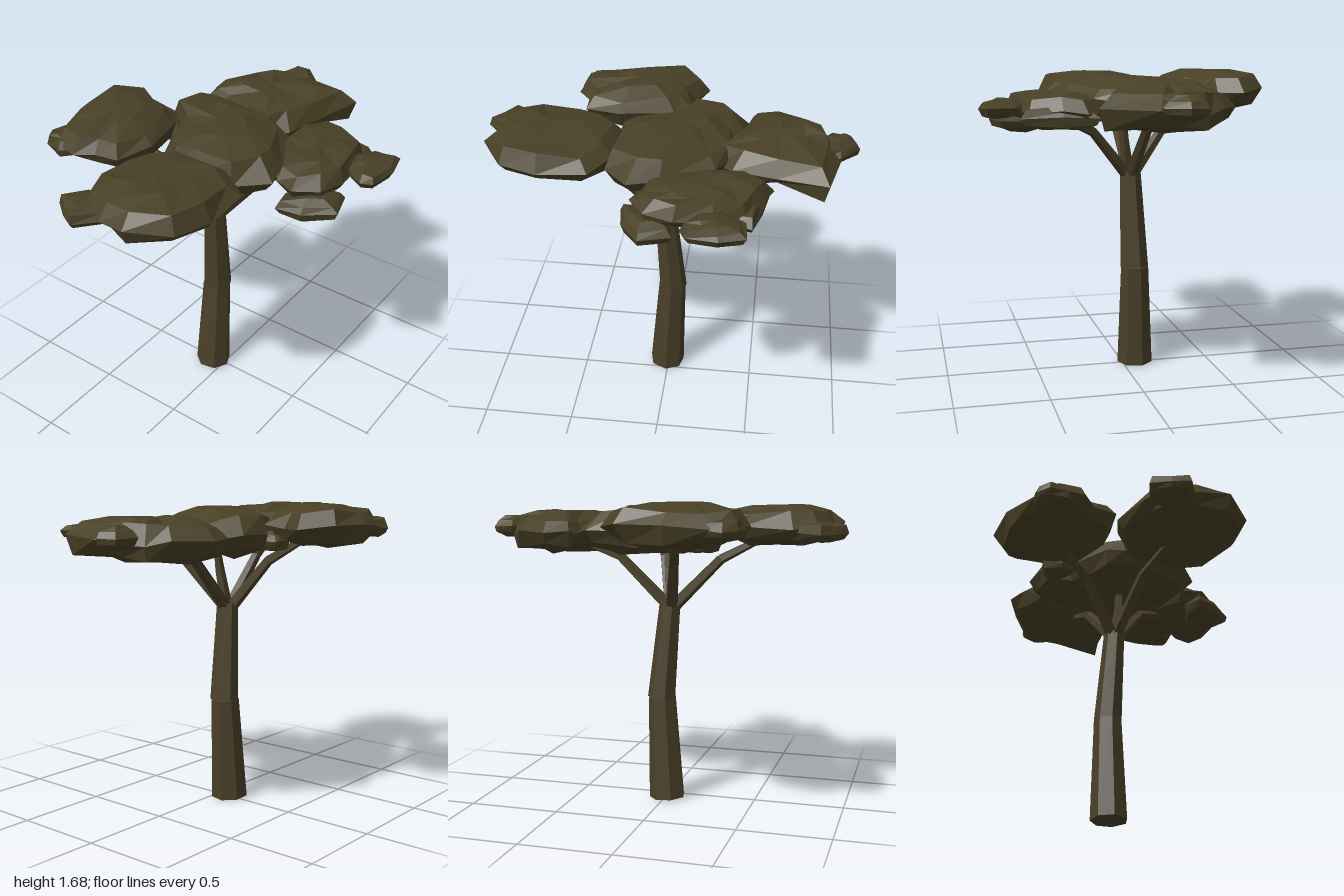
import * as THREE from 'three';

const bark = new THREE.MeshStandardMaterial({ color: 0x4a4029, flatShading: true });
bark.name = 'bark';
const leaves = new THREE.MeshStandardMaterial({ color: 0x484026, flatShading: true });
leaves.name = 'leaves';

// Small seeded generator, returns -1..1
let seed = 7;
function jitter() {
  seed = (seed * 16807) % 2147483647;
  return (seed / 2147483647) * 2 - 1;
}

// Tapered faceted limb section between two points
function limb(name, from, to, r0, r1, sides) {
  const a = new THREE.Vector3(...from), b = new THREE.Vector3(...to);
  const dir = b.clone().sub(a);
  const mesh = new THREE.Mesh(new THREE.CylinderGeometry(r1, r0, dir.length(), sides), bark);
  mesh.position.copy(a).add(b).multiplyScalar(0.5);
  mesh.quaternion.setFromUnitVectors(new THREE.Vector3(0, 1, 0), dir.normalize());
  mesh.name = name;
  return mesh;
}

// Ring profile of a foliage clump: [share of outline, share of height]
const PROFILE = [[0.5, 0.03], [0.87, 0.2], [1, 0.5], [0.83, 0.83], [0.45, 0.96]];

// Flattened rocky clump: plan outline (x, z pairs, clockwise from above) from y0 to y1
function clump(name, y0, y1, outline) {
  const n = outline.length / 2, h = y1 - y0;
  let cx = 0, cz = 0;
  for (let i = 0; i < n; i++) {
    cx += outline[2 * i] / n;
    cz += outline[2 * i + 1] / n;
  }
  const pos = [], index = [];
  for (const [s, t] of PROFILE) {
    for (let i = 0; i < n; i++) {
      const k = s === 1 ? 1 : s + jitter() * 0.07;
      const y = THREE.MathUtils.clamp(t + jitter() * 0.1, 0, 1);
      pos.push(cx + (outline[2 * i] - cx) * k, y0 + h * y, cz + (outline[2 * i + 1] - cz) * k);
    }
  }
  const rings = PROFILE.length, bottom = rings * n, top = bottom + 1;
  pos.push(cx, y0, cz, cx, y1, cz);
  for (let i = 0; i < n; i++) {
    const j = (i + 1) % n, last = (rings - 1) * n;
    index.push(bottom, i, j, top, last + j, last + i);
    for (let r = 0; r < rings - 1; r++) {
      const a = r * n + i, b = r * n + j;
      index.push(b, a, a + n, b, a + n, b + n);
    }
  }
  const indexed = new THREE.BufferGeometry();
  indexed.setAttribute('position', new THREE.Float32BufferAttribute(pos, 3));
  indexed.setIndex(index);
  const geo = indexed.toNonIndexed();
  geo.computeVertexNormals();
  const mesh = new THREE.Mesh(geo, leaves);
  mesh.name = name;
  return mesh;
}

export function createModel() {
  seed = 7;
  const tree = new THREE.Group();
  tree.name = 'flatToppedTree';

  // Trunk in two sections with a slight bend
  const trunk = new THREE.Group();
  trunk.name = 'trunk';
  trunk.add(
    limb('lowerTrunk', [-0.01, 0.005, -0.075], [0.02, 0.578, -0.067], 0.102, 0.079, 7),
    limb('upperTrunk', [0.025, 0.576, -0.064], [-0.02, 1.115, -0.05], 0.08, 0.06, 7)
  );
  tree.add(trunk);

  // Branches: base, elbow, tip
  const branches = new THREE.Group();
  branches.name = 'branches';
  const paths = {
    rightBranch: [[-0.045, 1.1, -0.05], [-0.3, 1.36, -0.03], [-0.55, 1.49, 0.02]],
    leftBranch: [[0, 1.1, -0.05], [0.27, 1.37, -0.07], [0.52, 1.46, -0.08]],
    frontBranch: [[-0.01, 1.1, -0.03], [0.08, 1.35, 0.18], [0.17, 1.45, 0.4]],
    backBranch: [[-0.03, 1.1, -0.07], [-0.1, 1.36, -0.27], [-0.18, 1.52, -0.52]],
    middleBranch: [[-0.02, 1.1, -0.04], [0, 1.3, -0.01], [0.02, 1.46, 0]],
  };
  for (const [name, [a, b, c]] of Object.entries(paths)) {
    const branch = new THREE.Group();
    branch.name = name;
    branch.add(limb('innerBranch', a, b, 0.036, 0.028, 5), limb('outerBranch', b, c, 0.028, 0.018, 5));
    branches.add(branch);
  }
  tree.add(branches);

  // Flat canopy: five large clumps with smaller ones around the edges
  const canopy = new THREE.Group();
  canopy.name = 'canopy';
  canopy.add(
    clump('middleClump', 1.39, 1.65, [-0.29, 0, -0.28, -0.13, -0.23, -0.22, -0.1, -0.27, 0.05, -0.33,
      0.13, -0.44, 0.33, -0.44, 0.41, -0.36, 0.4, -0.15, 0.36, 0.05, 0.27, 0.22, 0, 0.36, -0.16, 0.41, -0.29, 0.26]),
    clump('rightClump', 1.44, 1.655, [-0.95, 0.12, -0.92, -0.05, -0.85, -0.2, -0.73, -0.27, -0.47, -0.29,
      -0.35, -0.22, -0.25, -0.1, -0.25, 0.2, -0.36, 0.37, -0.62, 0.38, -0.82, 0.32]),
    clump('rightTuft', 1.47, 1.57, [-1, -0.16, -0.95, -0.25, -0.88, -0.34, -0.75, -0.26, -0.73, -0.1, -0.87, -0.04]),
    clump('leftClump', 1.39, 1.62, [0.25, 0.08, 0.33, -0.1, 0.39, -0.33, 0.43, -0.42, 0.56, -0.46, 0.75, -0.34,
      0.83, -0.24, 0.88, -0.1, 0.9, 0.03, 0.84, 0.31, 0.58, 0.23, 0.35, 0.18]),
    clump('leftTuft', 1.47, 1.59, [0.76, -0.12, 0.85, -0.22, 0.97, -0.19, 1, -0.09, 0.9, 0.02, 0.8, 0.03]),
    clump('backClump', 1.45, 1.675, [-0.57, -0.54, -0.54, -0.68, -0.42, -0.77, -0.2, -0.83, 0.05, -0.8, 0.17, -0.65,
      0.1, -0.52, 0.09, -0.38, 0, -0.32, -0.3, -0.24, -0.49, -0.31, -0.5, -0.45]),
    clump('backTuft', 1.49, 1.6, [-0.57, -0.64, -0.55, -0.74, -0.48, -0.79, -0.38, -0.76, -0.36, -0.6, -0.5, -0.55]),
    clump('backLowTuft', 1.43, 1.54, [-0.03, -0.4, 0.02, -0.5, 0.1, -0.47, 0.15, -0.39, 0.08, -0.32, 0, -0.3]),
    clump('frontClump', 1.41, 1.58, [-0.13, 0.5, -0.08, 0.38, 0.08, 0.3, 0.25, 0.18, 0.45, 0.2, 0.57, 0.3,
      0.53, 0.42, 0.45, 0.58, 0.3, 0.64, 0.1, 0.66, -0.05, 0.62]),
    clump('frontTuft', 1.45, 1.55, [0.14, 0.73, 0.2, 0.62, 0.33, 0.57, 0.45, 0.65, 0.46, 0.79, 0.33, 0.82, 0.17, 0.79]),
    clump('frontLowTuft', 1.35, 1.47, [-0.18, 0.44, -0.05, 0.42, 0.1, 0.52, 0.1, 0.68, -0.06, 0.73, -0.16, 0.58]),
    clump('frontSideTuft', 1.4, 1.52, [0.32, 0.4, 0.45, 0.24, 0.56, 0.24, 0.53, 0.42, 0.48, 0.63, 0.36, 0.6])
  );
  tree.add(canopy);
  return tree;
}
